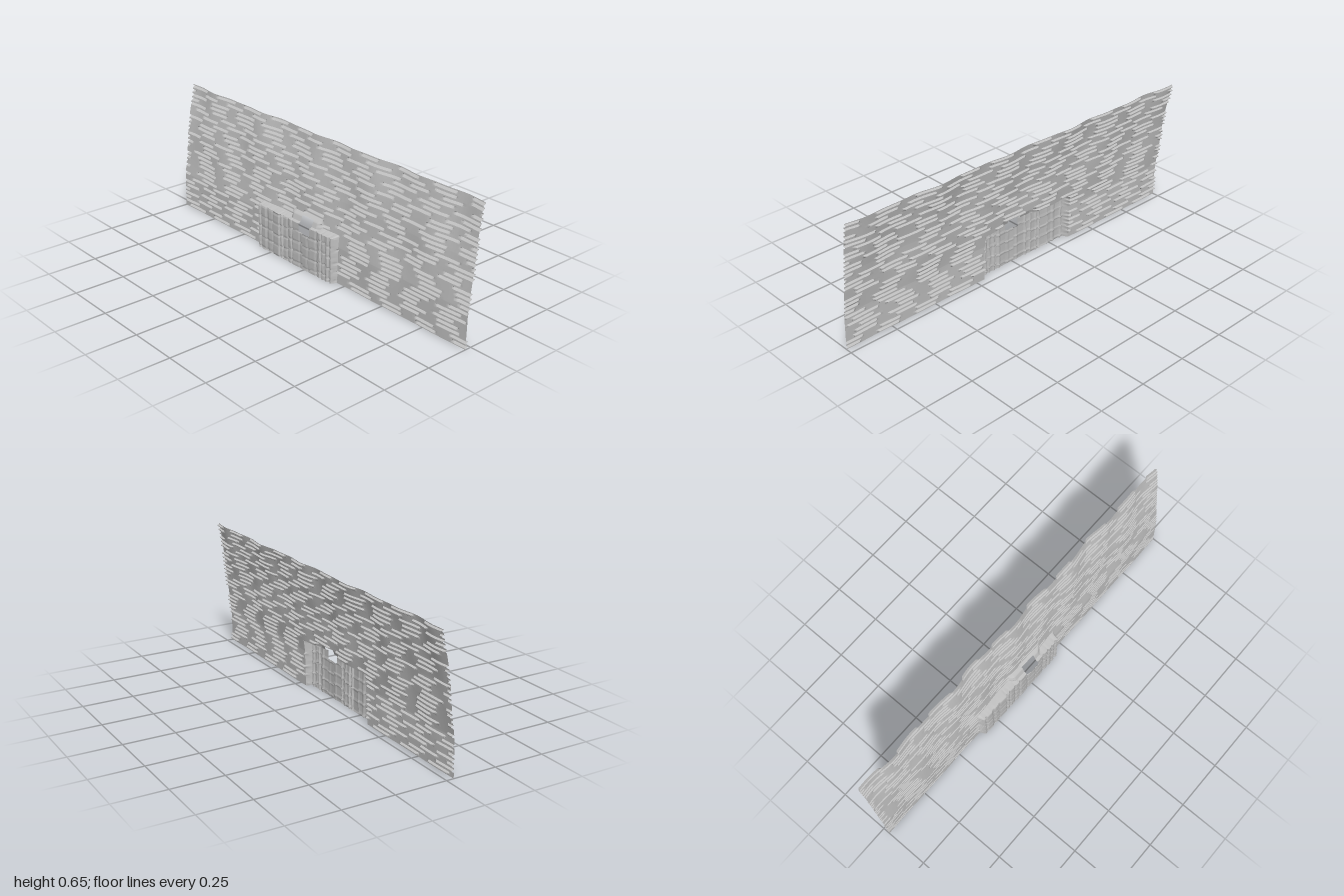
import * as THREE from 'three';
import { toCreasedNormals } from 'three/addons/utils/BufferGeometryUtils.js';

const HEIGHT = 0.655;
const ROWS = 30, PITCH = HEIGHT / ROWS;
const PANEL = { x0: -0.355, x1: 0.202, top: 0.238, slope: 0.014, z: 0.064 };
const HOLE = { x0: -0.04, x1: 0.04, y0: 0.185, y1: 0.262 };

const clamp01 = (t) => Math.min(1, Math.max(0, t));
const smooth = (a, b, t) => { const k = clamp01((t - a) / (b - a)); return k * k * (3 - 2 * k); };
const hash = (n) => { const s = Math.sin(n * 127.1 + 11.7) * 43758.5453; return s - Math.floor(s); };

// leaning profile of the wall: [y, z]
const LEAN = [[0, 0.034], [0.18, 0.031], [0.3, 0.016], [0.4, 0.006], [0.5, -0.009], [0.66, -0.039]];
function lean(y) {
  for (let i = 1; i < LEAN.length; i++) {
    const [ya, za] = LEAN[i - 1], [yb, zb] = LEAN[i];
    if (y <= yb) return za + (zb - za) * (y - ya) / (yb - ya);
  }
  return LEAN[LEAN.length - 1][1];
}

// long staggered joints, pressed toward the back
function joint(x, y) {
  const row = Math.min(ROWS - 1, Math.floor(y / PITCH + 1e-6));
  const v = y / PITCH - row;
  const period = 0.2 + 0.03 * hash(row + 40);
  const u = x + 2 + row * 0.083 + 0.03 * hash(row);
  const cell = Math.floor(u / period);
  const t = u - cell * period;
  const start = 0.03 * hash(row * 31 + cell);
  const end = start + 0.11 + 0.05 * hash(row * 17 + cell * 3);
  const along = smooth(start, start + 0.012, t) * (1 - smooth(end - 0.012, end, t));
  const across = smooth(0.18, 0.5, v) * (1 - smooth(0.66, 0.84, v));
  return 0.0115 * along * across;
}

function wallZ(x, y) {
  const amp = 0.0015 + 0.011 * y;
  const wave = 0.6 * Math.sin(x * 17 + y * 4) + 0.3 * Math.sin(x * 31 - y * 9 + 1)
    + 0.25 * Math.sin(x * 8 + y * 17 + 2);
  return lean(y) + amp * wave - joint(x, y);
}

// upright grooves in the panel: [x, half width, depth]
const GROOVES = [[-0.325, 0.006, 0.006], [-0.275, 0.009, 0.005], [-0.235, 0.005, 0.003],
  [-0.18, 0.006, 0.007], [-0.157, 0.005, 0.007], [-0.12, 0.006, 0.004], [-0.088, 0.006, 0.006],
  [-0.03, 0.006, 0.003], [0.025, 0.006, 0.003], [0.085, 0.007, 0.005], [0.118, 0.006, 0.007],
  [0.145, 0.006, 0.004], [0.172, 0.007, 0.007]];
function panelZ(x, y) {
  let z = PANEL.z + 0.001 * Math.sin(x * 60);
  for (const [gx, w, d] of GROOVES) {
    const wobble = 0.0015 * Math.sin(y * 50 + gx * 90);
    z -= d * (1 - smooth(w * 0.3, w * 1.3, Math.abs(x - gx - wobble)));
  }
  // small cross cracks
  const board = Math.floor((x + 1) / 0.055);
  const crack = (y + 0.03 * hash(board)) % 0.055;
  return z - 0.0025 * (1 - smooth(0.002, 0.006, Math.abs(crack - 0.03)));
}

function surfaceZ(x, y) {
  const wall = wallZ(x, y);
  const sides = clamp01((x - PANEL.x0) / PANEL.slope) * clamp01((PANEL.x1 - x) / PANEL.slope);
  const top = clamp01((PANEL.top - y) / 0.01);
  let z = wall + (panelZ(x, y) - wall) * sides * top;
  // sloping lip around the window
  const lip = smooth(-0.13, -0.1, x) * (1 - smooth(0.07, 0.1, x));
  if (y > 0.226 && y < 0.27) z = Math.max(z, wall + lip * (0.05 - 0.015 * (y - 0.23) / 0.04 - wall) * clamp01((0.27 - y) / 0.012));
  return z;
}

// regular grid lines with extra lines at sharp edges
function gridLines(from, to, count, extra) {
  const lines = [...extra];
  const step = (to - from) / count;
  for (let i = 0; i <= count; i++) {
    const v = from + step * i;
    if (i === 0 || i === count || extra.every((e) => Math.abs(e - v) > step * 0.3)) lines.push(v);
  }
  return lines.sort((a, b) => a - b);
}

function patch(xs, ys, keep) {
  const pos = [], index = [];
  for (const y of ys) for (const x of xs) pos.push(x, y, surfaceZ(x, y));
  const w = xs.length;
  for (let j = 0; j < ys.length - 1; j++) {
    for (let i = 0; i < w - 1; i++) {
      if (!keep((xs[i] + xs[i + 1]) / 2, (ys[j] + ys[j + 1]) / 2)) continue;
      const a = j * w + i, b = a + 1, c = a + w, d = c + 1;
      index.push(a, b, d, a, d, c);
    }
  }
  const geo = new THREE.BufferGeometry();
  geo.setAttribute('position', new THREE.Float32BufferAttribute(pos, 3));
  geo.setIndex(index);
  return toCreasedNormals(geo, 0.7);
}

export function createModel() {
  const group = new THREE.Group();
  group.name = 'stoneWall';
  const stone = new THREE.MeshStandardMaterial({ color: 0xbfbfbf, side: THREE.DoubleSide });
  stone.name = 'grey stone';

  const { x0, x1, top, slope } = PANEL;
  const xs = gridLines(-1, 1, 280, [x0, x0 + slope, x1 - slope, x1, HOLE.x0, HOLE.x1]);
  const ys = gridLines(0, HEIGHT, ROWS * 6, [top - 0.01, top, HOLE.y0, HOLE.y1, 0.27]);
  const inHole = (x, y) => x > HOLE.x0 && x < HOLE.x1 && y > HOLE.y0 && y < HOLE.y1;
  const inPanel = (x, y) => x > x0 && x < x1 && y < top;

  // leaning wall with staggered joints
  const wall = new THREE.Mesh(patch(xs, ys, (x, y) => !inPanel(x, y) && !inHole(x, y)), stone);
  wall.name = 'wall';

  // raised plank panel with a square window, on finer columns
  const px = gridLines(x0, x1, 150, [x0 + slope, x1 - slope, HOLE.x0, HOLE.x1]);
  const panel = new THREE.Mesh(patch(px, ys, (x, y) => inPanel(x, y) && !inHole(x, y)), stone);
  panel.name = 'plankPanel';

  group.add(wall, panel);
  return group;
}
